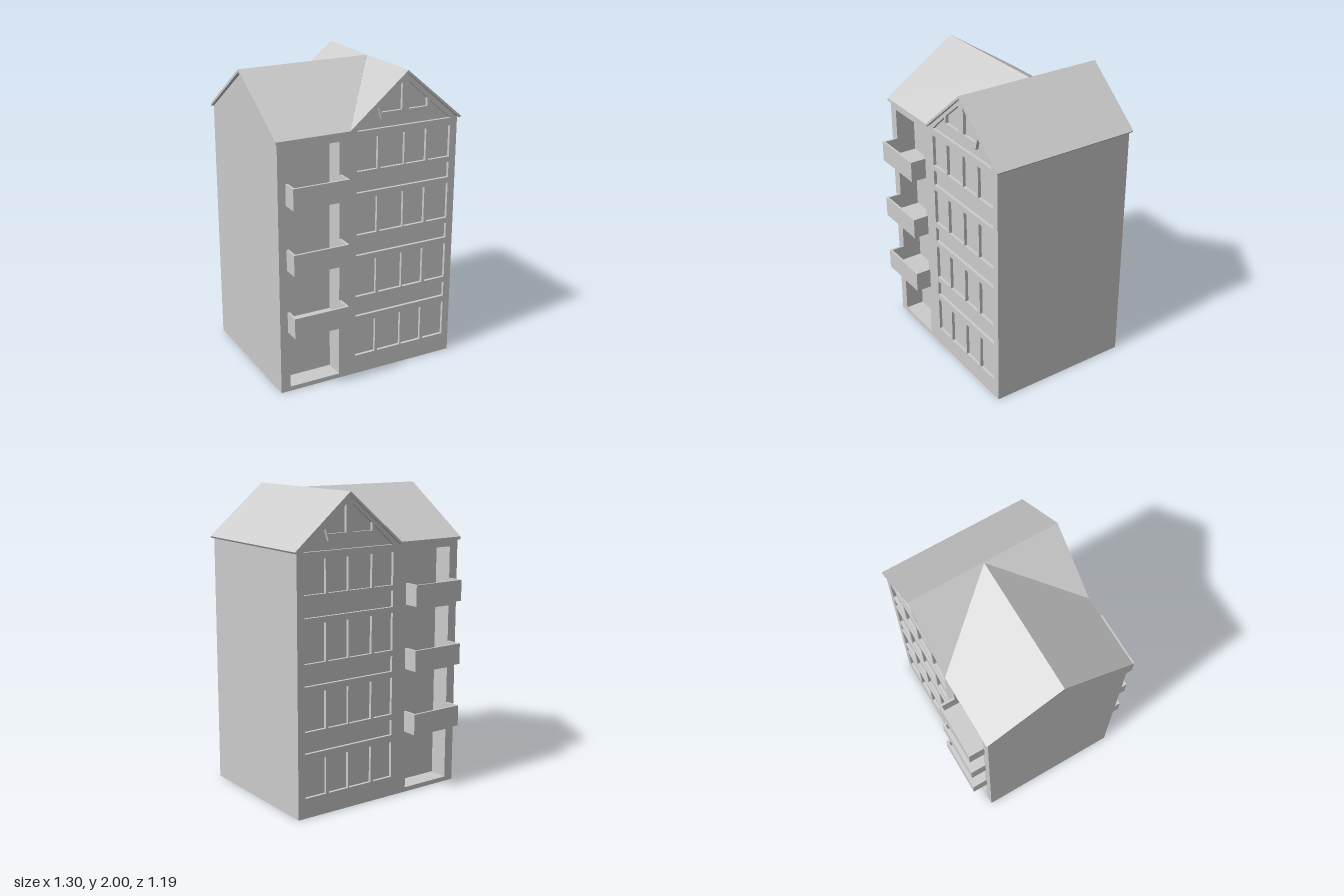
import * as THREE from 'three';

const material = new THREE.MeshStandardMaterial({ color: 0xcccccc, flatShading: true });
const HALF_DEPTH = 0.49;      // facade plane
const PANE_DEPTH = 0.02;      // window recess
const LOGGIA_DEPTH = 0.13;    // recess behind the balconies
const EAVE_Z = 0.505, EAVE_Y = 1.67, RIDGE_Y = 2.0, ROOF_T = 0.018;

const points = (list) => list.map(([x, y]) => new THREE.Vector2(x, y));
const rect = (x0, x1, y0, y1) => [[x0, y0], [x1, y0], [x1, y1], [x0, y1]];

function mesh(name, geometry, parent) {
  const m = new THREE.Mesh(geometry, material);
  m.name = name;
  parent.add(m);
  return m;
}

// Extrudes an outline with holes from z0 to z1
function slab(outline, holes, z0, z1) {
  const shape = new THREE.Shape(points(outline));
  for (const h of holes) shape.holes.push(new THREE.Path(points(h)));
  return new THREE.ExtrudeGeometry(shape, { depth: z1 - z0, bevelEnabled: false }).translate(0, 0, z0);
}

function box(name, x0, x1, y0, y1, z0, z1, parent) {
  const g = new THREE.BoxGeometry(x1 - x0, y1 - y0, Math.abs(z1 - z0));
  g.translate((x0 + x1) / 2, (y0 + y1) / 2, (z0 + z1) / 2);
  return mesh(name, g, parent);
}

const wallOutline = [[-0.63, 0], [0.63, 0], [0.63, 1.655], [0.25, 1.98], [-0.14, 1.655], [-0.63, 1.655]];

// Openings of the loggias, one per storey
const loggias = [[0.03, 0.37], [0.45, 0.8], [0.87, 1.22], [1.29, 1.61]]
  .map(([y0, y1]) => rect(-0.565, -0.215, y0, y1));

// Windows, spandrel panels and gable panels
const windowColumns = [[-0.095, 0.052], [0.072, 0.243], [0.253, 0.402], [0.422, 0.58]];
const windowRows = [[0.13, 0.37], [0.555, 0.8], [0.98, 1.222], [1.4, 1.61]];
const panels = [];
for (const [y0, y1] of windowRows)
  for (const [x0, x1] of windowColumns) panels.push(rect(x0, x1, y0, y1));
for (const [y0, y1] of [[0.415, 0.518], [0.84, 0.942], [1.26, 1.365]])
  panels.push(rect(-0.095, 0.58, y0, y1));
panels.push(
  [[-0.095, 1.656], [0.58, 1.656], [0.423, 1.788], [0.4, 1.71], [0.077, 1.71], [0.053, 1.788]],
  [[0.072, 1.755], [0.22, 1.755], [0.22, 1.925], [0.072, 1.803]],
  [[0.27, 1.755], [0.402, 1.755], [0.402, 1.808], [0.27, 1.925]],
);

// Open-topped balcony tray on the side given by s
function balcony(y, s) {
  const g = new THREE.Group();
  g.name = 'balcony';
  const x0 = -0.578, x1 = -0.2, t = 0.015, inner = s * HALF_DEPTH, outer = s * 0.595;
  const rim = outer - s * t;
  box('balconyFloor', x0 + t, x1 - t, y, y + 0.03, inner, rim, g);
  box('balconyFront', x0, x1, y, y + 0.138, rim, outer, g);
  box('balconySide', x0, x0 + t, y, y + 0.138, inner, rim, g);
  box('balconySide', x1 - t, x1, y, y + 0.138, inner, rim, g);
  return g;
}

// Roof over the right wing: chevron profile running front to back
function wingRoof() {
  return slab([
    [0.65, 1.664], [0.25, RIDGE_Y], [-0.15, EAVE_Y],
    [-0.15, EAVE_Y - ROOF_T], [0.25, RIDGE_Y - ROOF_T], [0.642, 1.653],
  ], [], -EAVE_Z, EAVE_Z);
}

// Cross roof over the left wing: its right end is cut along the valleys
function crossRoof() {
  const g = slab([
    [EAVE_Z, EAVE_Y], [0, RIDGE_Y], [-EAVE_Z, EAVE_Y],
    [-EAVE_Z, EAVE_Y - ROOF_T], [0, RIDGE_Y - ROOF_T], [EAVE_Z, EAVE_Y - ROOF_T],
  ], [], 0, 1);
  g.rotateY(-Math.PI / 2); // profile now lies in zy, length runs to -x
  const p = g.attributes.position;
  for (let i = 0; i < p.count; i++) {
    const valley = -0.15 + 0.395 * (1 - Math.abs(p.getZ(i)) / EAVE_Z);
    const gableEnd = -0.643 - (p.getY(i) - EAVE_Y) * 0.03;
    p.setX(i, p.getX(i) < -0.5 ? gableEnd : valley);
  }
  g.computeVertexNormals();
  return g;
}

export function createModel() {
  const model = new THREE.Group();
  model.name = 'apartmentHouse';

  // Solid core between the loggia back walls
  const zCore = HALF_DEPTH - LOGGIA_DEPTH, zPane = HALF_DEPTH - PANE_DEPTH;
  mesh('core', slab(wallOutline, [], -zCore, zCore), model);

  // Matching front and back facades
  for (const s of [1, -1]) {
    const side = new THREE.Group();
    side.name = s > 0 ? 'frontFacade' : 'backFacade';
    const layer = (a, b) => (s > 0 ? [a, b] : [-b, -a]);
    mesh('loggiaWall', slab(wallOutline, loggias, ...layer(zCore, zPane)), side);
    mesh('windowWall', slab(wallOutline, [...loggias, ...panels], ...layer(zPane, HALF_DEPTH)), side);
    for (const y of [0.42, 0.842, 1.264]) side.add(balcony(y, s));
    model.add(side);
  }

  // Gable wall closing the left wing under the cross roof
  const gable = slab([[-HALF_DEPTH, 1.655], [HALF_DEPTH, 1.655], [0, 1.98]], [], 0, 0.45);
  mesh('endGable', gable.rotateY(-Math.PI / 2).translate(-0.18, 0, 0), model);

  mesh('wingRoof', wingRoof(), model);
  mesh('crossRoof', crossRoof(), model);
  return model;
}
